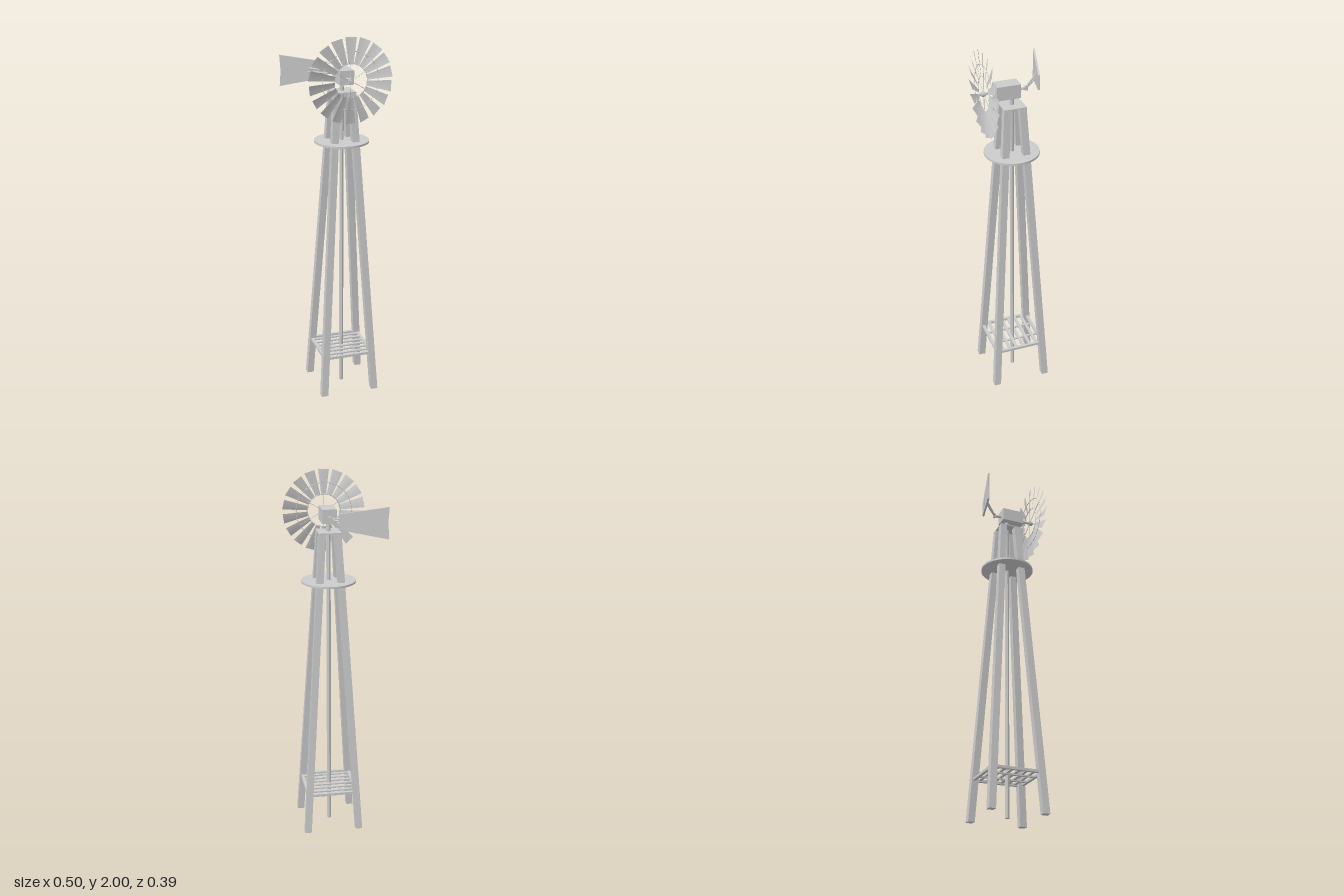
import * as THREE from 'three';

const CX = 0.027, CZ = 0.028, AXLE_Y = 1.778, WHEEL_Z = 0.177;
const mat = new THREE.MeshStandardMaterial({ color: 0xcccccc, flatShading: true, side: THREE.DoubleSide });

function add(parent, name, geo, x = 0, y = 0, z = 0) {
  const m = new THREE.Mesh(geo, mat);
  m.name = name;
  m.position.set(x, y, z);
  parent.add(m);
  return m;
}
const box = (parent, name, w, h, d, x, y, z) => add(parent, name, new THREE.BoxGeometry(w, h, d), x, y, z);

// Round bar between two points
function rod(parent, name, a, b, r, sides = 8) {
  const from = new THREE.Vector3(...a), to = new THREE.Vector3(...b);
  const dir = to.clone().sub(from);
  const m = add(parent, name, new THREE.CylinderGeometry(r, r, dir.length(), sides));
  m.position.copy(from).add(to).multiplyScalar(0.5);
  m.quaternion.setFromUnitVectors(new THREE.Vector3(0, 1, 0), dir.normalize());
  return m;
}

// Square post with flat ends, sheared inward toward the top
function legGeometry(sx, sz) {
  const geo = new THREE.BoxGeometry(0.037, 1.695, 0.037).translate(0, 0.8475, 0);
  const p = geo.attributes.position;
  for (let i = 0; i < p.count; i++) {
    const off = p.getY(i) > 0.8 ? 0.041 : 0.146;
    p.setX(i, p.getX(i) + sx * off);
    p.setZ(i, p.getZ(i) + sz * off);
  }
  geo.computeVertexNormals();
  return geo;
}

// Tapered, pitched and slightly cupped blade, radial along +y
function bladeGeometry() {
  const geo = new THREE.PlaneGeometry(1, 1, 4, 1);
  const p = geo.attributes.position;
  for (let i = 0; i < p.count; i++) {
    const u = p.getX(i), t = p.getY(i) + 0.5;
    const w = THREE.MathUtils.lerp(0.026, 0.058, t);
    const cup = (0.25 - u * u) * 0.1 * w;
    p.setXYZ(i, u * w * 0.95, THREE.MathUtils.lerp(0.085, 0.221, t), u * w * 0.3 - cup);
  }
  geo.computeVertexNormals();
  return geo;
}

function buildTower() {
  const tower = new THREE.Group();
  tower.name = 'tower';
  tower.position.set(CX, 0, CZ);
  for (const sx of [-1, 1]) for (const sz of [-1, 1]) add(tower, 'leg', legGeometry(sx, sz));
  box(tower, 'topPlate', 0.12, 0.006, 0.12, 0, 1.697, 0);
  add(tower, 'centrePole', new THREE.CylinderGeometry(0.012, 0.012, 1.75, 8), 0, 0.875, 0);
  add(tower, 'platform', new THREE.CylinderGeometry(0.146, 0.146, 0.011, 48), 0, 1.43, 0);

  // Lower frame and its slats
  for (const s of [-1, 1]) {
    box(tower, 'frameRail', 0.29, 0.014, 0.016, 0, 0.222, s * 0.137);
    box(tower, 'frameRail', 0.016, 0.014, 0.258, s * 0.137, 0.222, 0);
    box(tower, 'crossBar', 0.012, 0.008, 0.26, s * 0.05, 0.218, 0);
  }
  for (let i = 0; i < 6; i++) box(tower, 'slat', 0.26, 0.008, 0.016, 0, 0.225, -0.1 + i * 0.04);
  return tower;
}

function buildWheel() {
  const wheel = new THREE.Group();
  wheel.name = 'windWheel';
  wheel.position.set(CX, AXLE_Y, WHEEL_Z);
  const blade = bladeGeometry();
  const count = 18;
  for (let i = 0; i < count; i++) {
    add(wheel, 'blade', blade).rotation.z = (i / count) * Math.PI * 2;
  }
  for (const r of [0.089, 0.15]) {
    add(wheel, 'bladeRing', new THREE.TorusGeometry(r, 0.0018, 4, 54), 0, 0, -0.003);
  }
  for (let i = 0; i < 6; i++) {
    const a = (i / 6) * Math.PI * 2 + Math.PI / 6;
    const c = Math.cos(a), s = Math.sin(a);
    rod(wheel, 'spoke', [c * 0.008, s * 0.008, -0.003], [c * 0.15, s * 0.15, -0.003], 0.0016, 5);
  }
  rod(wheel, 'hub', [0, 0, -0.009], [0, 0, 0.01], 0.013, 12);
  rod(wheel, 'hubCap', [0, 0, 0.01], [0, 0, 0.018], 0.006, 8);
  return wheel;
}

function buildTail() {
  const tail = new THREE.Group();
  tail.name = 'tail';
  // Paired arms running from the shaft end to the vane
  for (const s of [-1, 1]) {
    rod(tail, 'tailArm', [CX, AXLE_Y + s * 0.004, -0.048], [-0.1, AXLE_Y + s * 0.011, -0.153], 0.0045, 6);
  }
  box(tail, 'tailHinge', 0.014, 0.024, 0.014, CX, AXLE_Y, -0.05);

  // Flared vane plate
  const vane = new THREE.Group();
  vane.name = 'vane';
  vane.position.set(0, AXLE_Y, -0.13);
  vane.rotation.y = Math.PI - 0.254;
  const outline = new THREE.Shape([
    [0, -0.038], [0.256, -0.083], [0.25, 0], [0.256, 0.083], [0, 0.042],
  ].map(([x, y]) => new THREE.Vector2(x, y)));
  add(vane, 'vanePlate', new THREE.ExtrudeGeometry(outline, { depth: 0.01, bevelEnabled: false }), 0, 0, -0.005);
  for (const s of [-1, 1]) box(vane, 'vaneBracket', 0.008, 0.018, 0.018, 0.105, s * 0.014, 0);
  tail.add(vane);
  return tail;
}

export function createModel() {
  const model = new THREE.Group();
  model.name = 'windPump';
  model.add(buildTower());

  // Gear housing and main shaft
  box(model, 'gearHousing', 0.076, 0.074, 0.127, CX, 1.782, 0.054);
  rod(model, 'mainShaft', [CX, AXLE_Y, -0.055], [CX, AXLE_Y, WHEEL_Z], 0.007, 8);

  model.add(buildWheel(), buildTail());
  return model;
}
